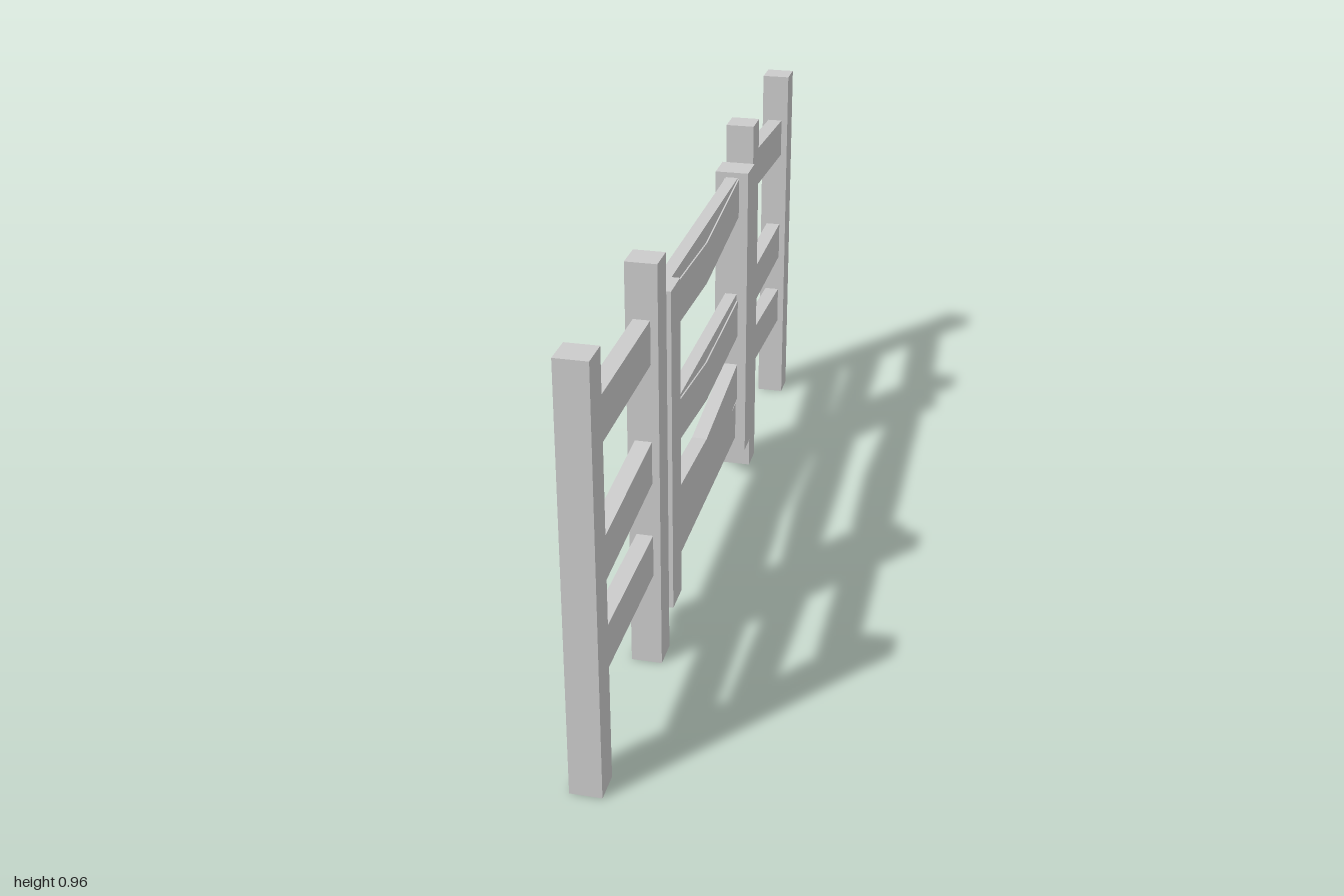
import * as THREE from 'three';

const material = new THREE.MeshStandardMaterial({ color: 0xcccccc, flatShading: true });

export function createModel() {
  const fence = new THREE.Group();
  fence.name = 'fenceWithGate';

  const addBox = (name, width, depth, bottom, top, z) => {
    const mesh = new THREE.Mesh(new THREE.BoxGeometry(width, top - bottom, depth), material);
    mesh.name = name;
    mesh.position.set(0, (bottom + top) / 2, z);
    fence.add(mesh);
  };

  // Rail that follows bottom-edge points [z, y] with a constant height
  const addBentRail = (name, points, height, thickness) => {
    const upper = points.map(([z, y]) => [z, y + height]).reverse();
    const outline = [...points, ...upper].map(([z, y]) => new THREE.Vector2(z, y));
    const geometry = new THREE.ExtrudeGeometry(new THREE.Shape(outline), { depth: thickness, bevelEnabled: false });
    geometry.translate(0, 0, -thickness / 2);
    geometry.rotateY(-Math.PI / 2);
    const mesh = new THREE.Mesh(geometry, material);
    mesh.name = name;
    fence.add(mesh);
  };

  // Fence posts and the shorter, raised gate uprights
  for (const side of [1, -1]) {
    addBox('outerPost', 0.07, 0.07, 0, 0.965, side * 0.965);
    addBox('innerPost', 0.07, 0.07, 0, 0.965, side * 0.485);
    addBox('gateUpright', 0.083, 0.08, 0.095, 0.872, side * 0.396);
  }

  // Long sagging rails: bottom heights at the five stations along z
  const stations = [-0.965, -0.485, 0, 0.485, 0.965];
  const sagging = {
    topRail: [0.738, 0.77, 0.717, 0.74, 0.74],
    middleRail: [0.432, 0.432, 0.412, 0.462, 0.43],
    bottomRail: [0.228, 0.26, 0.205, 0.23, 0.23],
  };
  for (const [name, heights] of Object.entries(sagging)) {
    addBentRail(name, heights.map((y, i) => [stations[i], y]), 0.1, 0.037);
  }

  // Straight, slightly thinner gate rails
  for (const bottom of [0.13, 0.445, 0.759]) {
    addBox('gateRail', 0.03, 0.79, bottom, bottom + 0.1, 0);
  }

  return fence;
}
